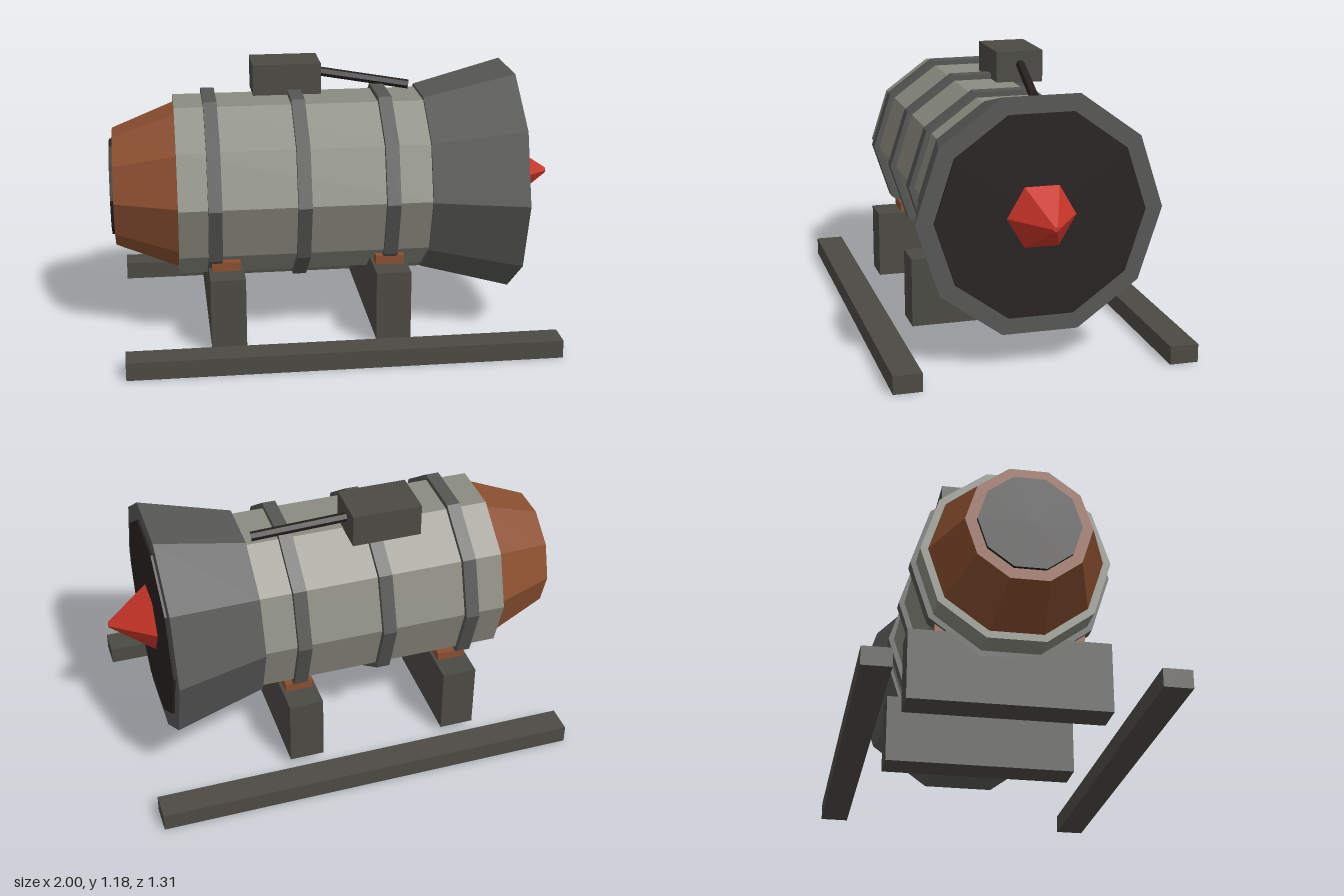
import * as THREE from 'three';

const mat = (color) => new THREE.MeshStandardMaterial({ color, flatShading: true });

export function createModel() {
  const model = new THREE.Group();
  const AXIS_Y = 0.655;
  const steel = mat(0x8a8b80), band = mat(0x555553), bell = mat(0x575756);
  const copper = mat(0x8b4f30), dark = mat(0x262220), red = mat(0xc83428), iron = mat(0x4b4a44);

  const add = (name, geometry, material) => {
    const mesh = new THREE.Mesh(geometry, material);
    mesh.name = name;
    model.add(mesh);
    return mesh;
  };

  // Faceted section along the engine axis, from x0 (radius r0) to x1 (radius r1)
  const section = (name, x0, x1, r0, r1, material, sides = 10) => {
    const g = new THREE.CylinderGeometry(r1, r0, x1 - x0, sides);
    g.rotateZ(-Math.PI / 2);
    add(name, g, material).position.set((x0 + x1) / 2, AXIS_Y, 0);
  };

  // Box given by its lower and upper corners
  const box = (name, [x0, y0, z0], [x1, y1, z1], material) => {
    add(name, new THREE.BoxGeometry(x1 - x0, y1 - y0, z1 - z0), material)
      .position.set((x0 + x1) / 2, (y0 + y1) / 2, (z0 + z1) / 2);
  };

  // Engine core
  section('exhaustOpening', -1, -0.97, 0.215, 0.215, dark);
  section('exhaustNozzle', -0.985, -0.7, 0.263, 0.376, copper);
  section('engineBody', -0.71, 0.41, 0.405, 0.405, steel);
  section('intakeBell', 0.395, 0.8, 0.42, 0.527, bell);
  section('intakeOpening', 0.78, 0.81, 0.45, 0.45, dark);
  section('noseCone', 0.8, 1, 0.155, 0.012, red, 6);

  // Reinforcing bands
  for (const x of [-0.552, -0.165, 0.221]) section('band', x - 0.03, x + 0.03, 0.43, 0.43, band);

  // Cradle blocks with copper pads
  for (const x of [-0.505, 0.222]) {
    box('cradle', [x - 0.077, 0.035, -0.433], [x + 0.077, 0.345, 0.433], iron);
    box('cradlePad', [x - 0.063, 0.3, -0.32], [x + 0.063, 0.385, 0.32], copper);
  }

  // Skids on both sides
  for (const s of [-1, 1]) {
    box('skid', [-0.955, 0, s * 0.593 - 0.062], [0.935, 0.08, s * 0.593 + 0.062], iron);
  }

  // Control box and its feed pipe
  box('controlBox', [-0.35, 1.035, -0.265], [-0.042, 1.18, -0.048], iron);
  const a = new THREE.Vector3(-0.06, 1.122, -0.163), b = new THREE.Vector3(0.365, 1.06, -0.098);
  const pipe = add('feedPipe', new THREE.CylinderGeometry(0.021, 0.021, a.distanceTo(b), 6), dark);
  pipe.position.copy(a).lerp(b, 0.5);
  pipe.quaternion.setFromUnitVectors(new THREE.Vector3(0, 1, 0), b.clone().sub(a).normalize());

  return model;
}
